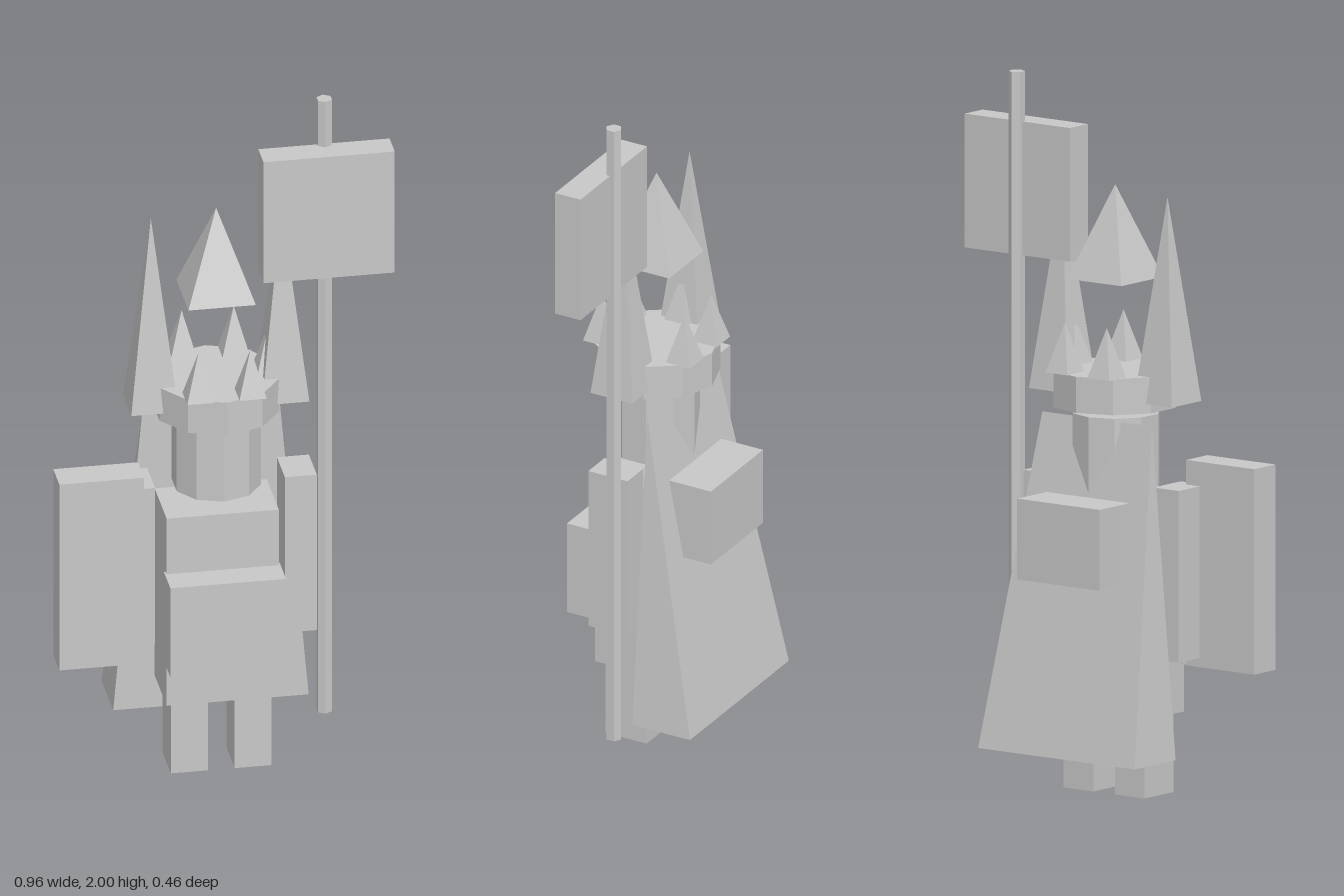
import * as THREE from 'three';

const CX = -0.0165; // the figure's own middle line
const CZ = 0.037;

export function createModel() {
  const model = new THREE.Group();
  model.name = 'bannerKnight';
  const stone = new THREE.MeshStandardMaterial({ color: 0xc8c8c8, flatShading: true });
  stone.name = 'stoneGrey';

  const add = (name, geometry, x = 0, y = 0, z = 0) => {
    const mesh = new THREE.Mesh(geometry, stone);
    mesh.name = name;
    mesh.position.set(x, y, z);
    model.add(mesh);
    return mesh;
  };
  // Box given by its limits on each axis
  const block = (name, [x0, x1], [y0, y1], [z0, z1]) =>
    add(name, new THREE.BoxGeometry(x1 - x0, y1 - y0, z1 - z0),
      (x0 + x1) / 2, (y0 + y1) / 2, (z0 + z1) / 2);
  // Upright prism with a corner facing the front
  const prism = (name, radius, sides, y0, y1, x, z) =>
    add(name, new THREE.CylinderGeometry(radius, radius, y1 - y0, sides), x, (y0 + y1) / 2, z);
  // Square pyramid with sides along the axes
  const pyramid = (name, half, y0, y1, x, z) => {
    const geometry = new THREE.ConeGeometry(half * Math.SQRT2, y1 - y0, 4).rotateY(Math.PI / 4);
    return add(name, geometry, x, (y0 + y1) / 2, z);
  };

  // Body
  block('torso', [-0.175, 0.141], [0.225, 0.808], [-0.044, 0.144]);
  block('bellyPlate', [-0.18, 0.146], [0.358, 0.635], [0.13, 0.23]);
  block('backpack', [-0.162, 0.128], [0.615, 0.843], [-0.22, -0.085]);

  // Paired legs, arms and horns
  for (const [side, s] of [['left', 1], ['right', -1]]) {
    const span = (a, b) => [CX + s * a, CX + s * b].sort((p, q) => p - q);
    block(side + 'Leg', span(0.038, 0.142), [0, 0.225], [-0.013, 0.118]);
    block(side + 'Arm', span(0.183, 0.273), [0.399, 0.883], [-0.027, 0.098]);
    pyramid(side + 'Horn', 0.067, 1.116, 1.693, CX + s * 0.184, CZ);
  }

  // Head, crown and floating peak
  prism('head', 0.125, 10, 0.858, 1.069, CX, 0.041);
  prism('crown', 0.178, 10, 1.089, 1.191, CX, CZ);
  pyramid('peak', 0.095, 1.445, 1.709, CX, CZ);

  // Ring of six crown spikes
  for (let i = 0; i < 6; i++) {
    const angle = (i * Math.PI) / 3;
    pyramid('crownSpike' + i, 0.0385, 1.19, 1.33,
      CX + 0.147 * Math.cos(angle), CZ + 0.153 * Math.sin(angle));
  }

  // Cape: a wedge that narrows to a sharp edge at the shoulders
  const cape = new THREE.BoxGeometry(0.551, 0.932, 0.184);
  const p = cape.attributes.position;
  for (let i = 0; i < p.count; i++) {
    if (p.getY(i) > 0) {
      p.setX(i, p.getX(i) * 0.7);
      p.setZ(i, 0.092);
    }
  }
  const faces = Array.from(cape.index.array);
  faces.splice(12, 6); // the top face has no width
  cape.setIndex(faces);
  cape.clearGroups();
  cape.computeVertexNormals();
  add('cape', cape, CX, 0.593, -0.136);

  // Held gear
  block('shield', [-0.481, -0.242], [0.373, 0.952], [0.068, 0.164]);
  prism('bannerPole', 0.023, 6, 0.094, 2, 0.296, -0.006);
  block('banner', [0.11, 0.48], [1.482, 1.859], [-0.005, 0.076]);

  return model;
}
